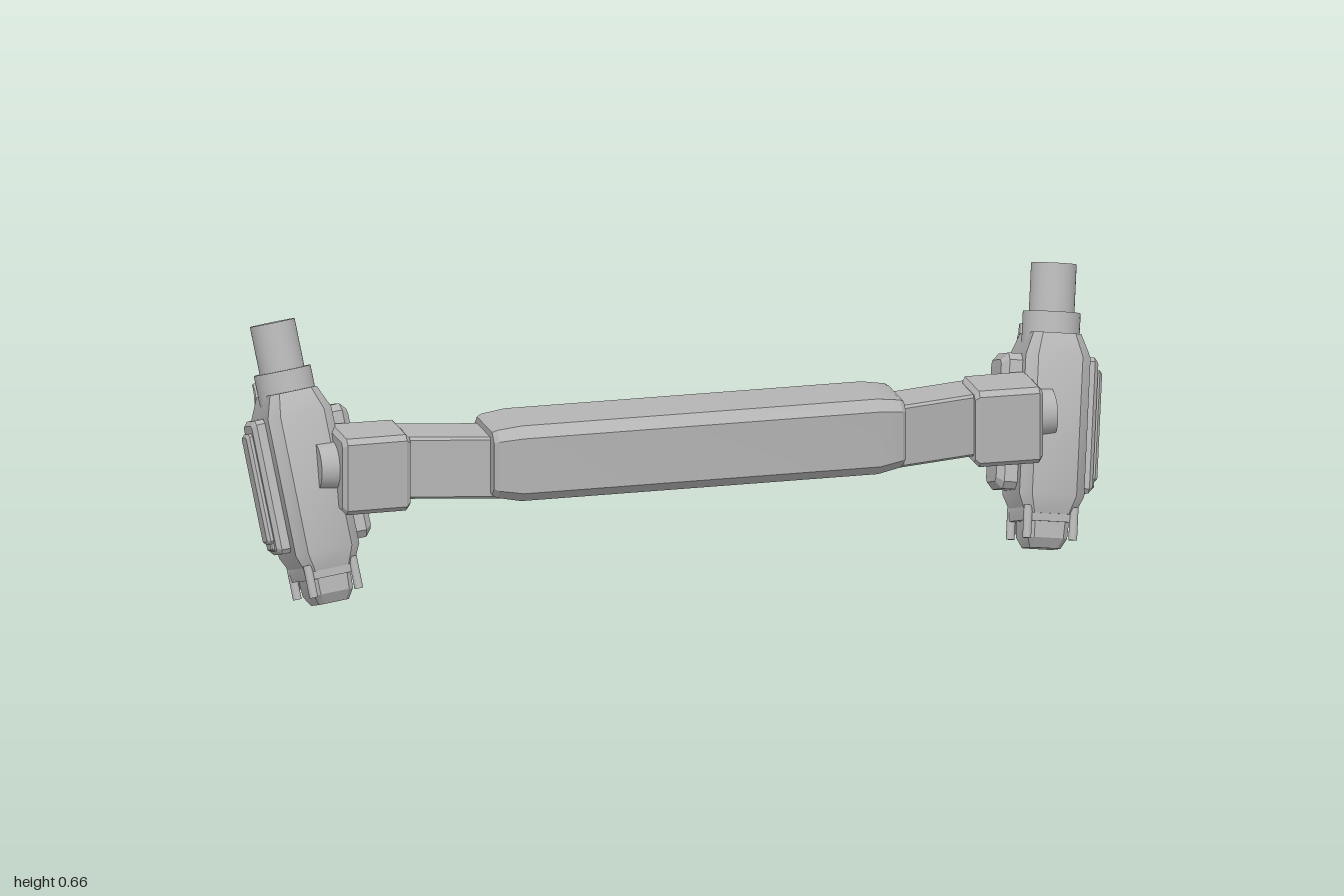
import * as THREE from 'three';
import { toCreasedNormals } from 'three/addons/utils/BufferGeometryUtils.js';

// Solid lofted along y; each section is [y, halfX, halfZ, chamfer, offsetZ].
function loft(sections) {
  const pos = [], idx = [];
  for (const [y, a, b, c, oz = 0] of sections) {
    const ring = [[a, -b + c], [a, b - c], [a - c, b], [-a + c, b],
      [-a, b - c], [-a, -b + c], [-a + c, -b], [a - c, -b]];
    for (const [x, z] of ring) pos.push(x, y, z + oz);
  }
  const last = (sections.length - 1) * 8;
  for (let k = 0; k < last; k += 8) {
    for (let i = 0; i < 8; i++) {
      const p = k + i, q = k + (i + 1) % 8;
      idx.push(p, p + 8, q, q, p + 8, q + 8);
    }
  }
  for (let i = 1; i < 7; i++) idx.push(0, i, i + 1, last, last + i + 1, last + i);
  const g = new THREE.BufferGeometry();
  g.setAttribute('position', new THREE.Float32BufferAttribute(pos, 3));
  g.setIndex(idx);
  return toCreasedNormals(g, 0.5);
}

// Block rising from y = 0 to h with a bevelled top.
const plate = (a, b, h, bevel = 0.01) =>
  loft([[0, a, b, bevel], [h - bevel, a, b, bevel], [h, a - bevel, b - bevel, bevel * 0.6]]);

export function createModel() {
  const grey = new THREE.MeshStandardMaterial({ color: 0xb4b4b4 });
  grey.name = 'plain grey';
  const model = new THREE.Group();
  model.name = 'crossbarWithPods';

  const add = (parent, name, geometry, x, y, z, rx = 0, rz = 0) => {
    const mesh = new THREE.Mesh(geometry, grey);
    mesh.name = name;
    mesh.position.set(x, y, z);
    mesh.rotation.set(rx, 0, rz);
    parent.add(mesh);
    return mesh;
  };
  const Q = Math.PI / 2;

  // Central bar with tapered ends
  add(model, 'bar', loft([
    [-0.485, 0.074, 0.086, 0.02, -0.008], [-0.475, 0.08, 0.092, 0.022, -0.005],
    [-0.42, 0.089, 0.098, 0.024], [0.42, 0.089, 0.098, 0.024],
    [0.475, 0.08, 0.092, 0.022, -0.005], [0.485, 0.074, 0.086, 0.02, -0.008],
  ]), 0, 0.352, 0.152, 0, -Q);

  // Stepped box on the middle of the back
  add(model, 'backBoxBase', plate(0.11, 0.06, 0.055, 0.012), 0, 0.345, 0.06, -Q);
  add(model, 'backBoxTop', plate(0.088, 0.034, 0.035, 0.004), 0, 0.345, 0.005, -Q);

  for (const s of [1, -1]) {
    const out = -s * Q; // turns a part's top outward

    // Back boxes with side tabs
    add(model, 'backSideBox', plate(0.07, 0.07, 0.055, 0.014), s * 0.275, 0.318, 0.065, -Q);
    add(model, 'backTab', plate(0.04, 0.013, 0.035, 0.005), s * 0.375, 0.345, 0.065, -Q);
    add(model, 'backTabEnd', plate(0.01, 0.024, 0.035, 0.004), s * 0.395, 0.345, 0.06, -Q);

    // Swept arm and its end block
    add(model, 'arm', loft([[0.45, 0.073, 0.063, 0.006, 0.145], [0.69, 0.073, 0.063, 0.006, 0.085]]),
      0, 0.338, 0, 0, out);
    add(model, 'armBlock', loft([
      [0.665, 0.08, 0.062, 0.01, 0.105], [0.675, 0.09, 0.074, 0.012, 0.1],
      [0.815, 0.09, 0.076, 0.012, 0.1], [0.825, 0.08, 0.066, 0.01, 0.1],
    ]), 0, 0.332, 0, 0, out);
    add(model, 'pivotDisc', new THREE.CylinderGeometry(0.052, 0.055, 0.05, 32),
      s * 0.842, 0.34, 0.09, 0, out);

    // Tilted pod
    const pod = new THREE.Group();
    pod.name = s > 0 ? 'leftPod' : 'rightPod';
    pod.position.set(s * 0.874, 0.29, 0.02);
    pod.rotation.set(-0.305, 0, -s * 0.128);
    model.add(pod);

    add(pod, 'podBody', loft([
      [-0.207, 0.058, 0.084, 0.018], [-0.165, 0.076, 0.102, 0.024],
      [0.152, 0.076, 0.102, 0.024], [0.205, 0.056, 0.08, 0.018],
    ]), 0, 0, -0.005);
    add(pod, 'collar', new THREE.CylinderGeometry(0.066, 0.066, 0.08, 40), 0, 0.214, -0.006);
    add(pod, 'post', new THREE.CylinderGeometry(0.052, 0.052, 0.13, 40), 0, 0.3, -0.007);

    // Foot with corner rods
    add(pod, 'footFlange', loft([
      [-0.225, 0.06, 0.078, 0.012], [-0.185, 0.064, 0.084, 0.014],
      [-0.165, 0.056, 0.074, 0.012]]), 0, 0, -0.005);
    add(pod, 'foot', loft([
      [-0.285, 0.036, 0.046, 0.01], [-0.262, 0.046, 0.066, 0.012],
      [-0.2, 0.048, 0.074, 0.012]]), 0, 0, -0.003);
    for (const x of [-0.054, 0.054]) {
      for (const z of [-0.08, 0.072]) {
        add(pod, 'footRod', new THREE.CylinderGeometry(0.01, 0.01, 0.075, 16), x, -0.228, z);
      }
    }

    // Stepped outer panel
    add(pod, 'outerPanel', plate(0.155, 0.046, 0.04, 0.01), s * 0.066, 0, -0.007, 0, out);
    add(pod, 'outerPanelRidge', plate(0.128, 0.027, 0.016, 0.007), s * 0.104, 0, -0.007, 0, out);
    add(pod, 'outerPanelTab', plate(0.009, 0.02, 0.01, 0.003), s * 0.104, -0.134, -0.007, 0, out);

    // Inner mounting slab
    add(pod, 'innerSlab', plate(0.155, 0.062, 0.058, 0.016), -s * 0.064, 0, -0.015, 0, -out);

    // Wedge fin along the back, wider at its root
    add(pod, 'fin', loft([[0.08, 0.06, 0.198, 0.004], [0.125, 0.046, 0.215, 0.004, -0.003],
      [0.208, 0.024, 0.24, 0.002, -0.007]]), 0, 0, 0, -Q);
  }
  return model;
}
